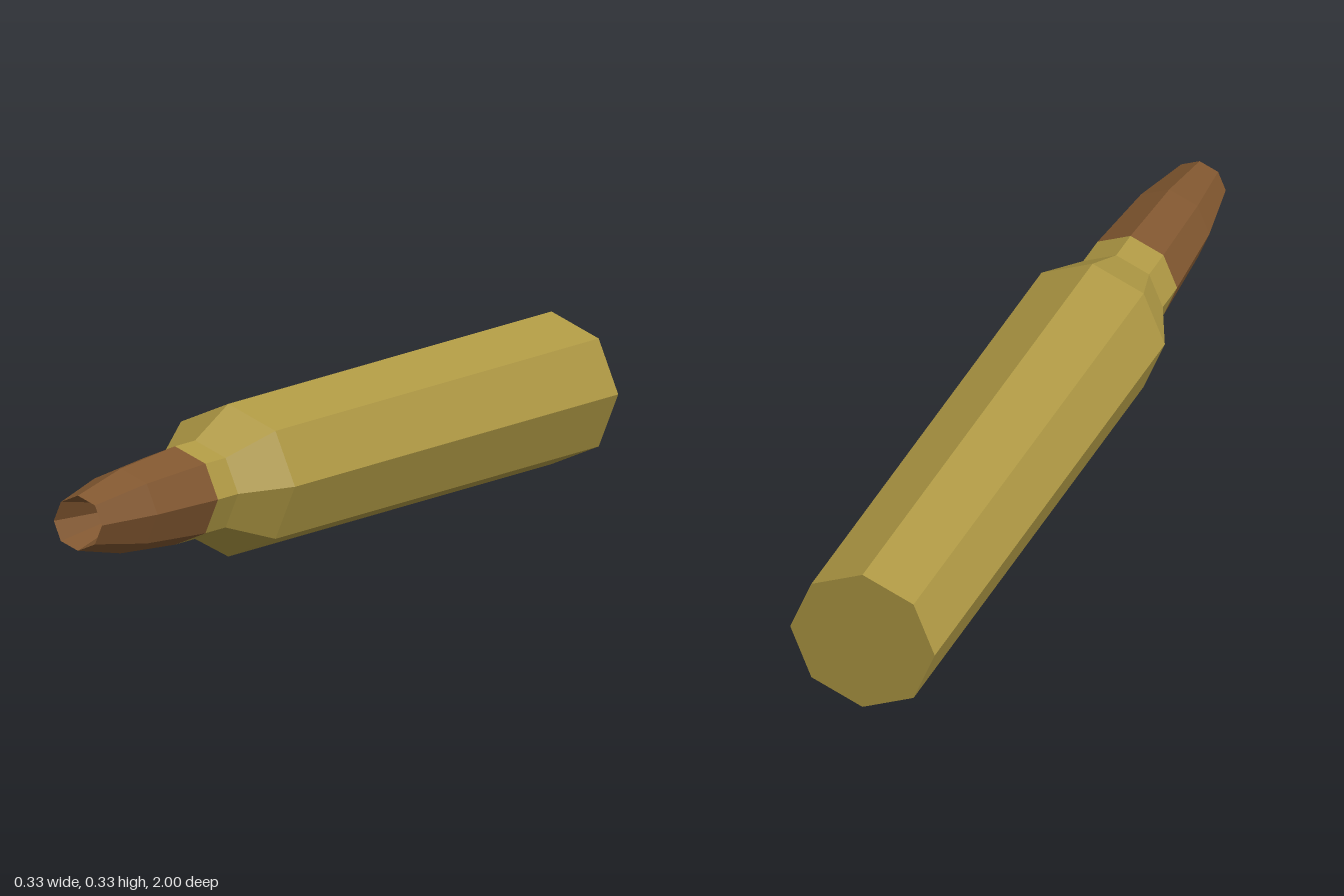
import * as THREE from 'three';

const SIDES = 8;
const RADIUS = 0.166;

// Faceted solid of revolution along z, from [radius, z] pairs running back to front
function turned(name, profile, material) {
  const points = profile.map(([r, z]) => new THREE.Vector2(r, z));
  const geometry = new THREE.LatheGeometry(points, SIDES).toNonIndexed();
  geometry.computeVertexNormals();
  geometry.rotateX(Math.PI / 2);
  const mesh = new THREE.Mesh(geometry, material);
  mesh.name = name;
  mesh.position.y = RADIUS;
  return mesh;
}

export function createModel() {
  const brass = new THREE.MeshStandardMaterial({ color: 0xad9743 });
  brass.name = 'brass';
  const copper = new THREE.MeshStandardMaterial({ color: 0x80562f });
  copper.name = 'copper';

  const group = new THREE.Group();
  group.name = 'cartridge';

  // Closed base, straight body, shoulder and neck
  group.add(turned('casing', [
    [0, -1], [RADIUS, -1], [RADIUS, 0.365], [0.107, 0.505], [0.107, 0.59],
  ], brass));

  // Tapered bullet
  group.add(turned('bullet', [[0.107, 0.59], [0.092, 0.82], [0.06, 1]], copper));

  // Hollow point, sinking back into the bullet
  group.add(turned('hollowPoint', [[0.06, 1], [0, 0.7]], copper));

  return group;
}
